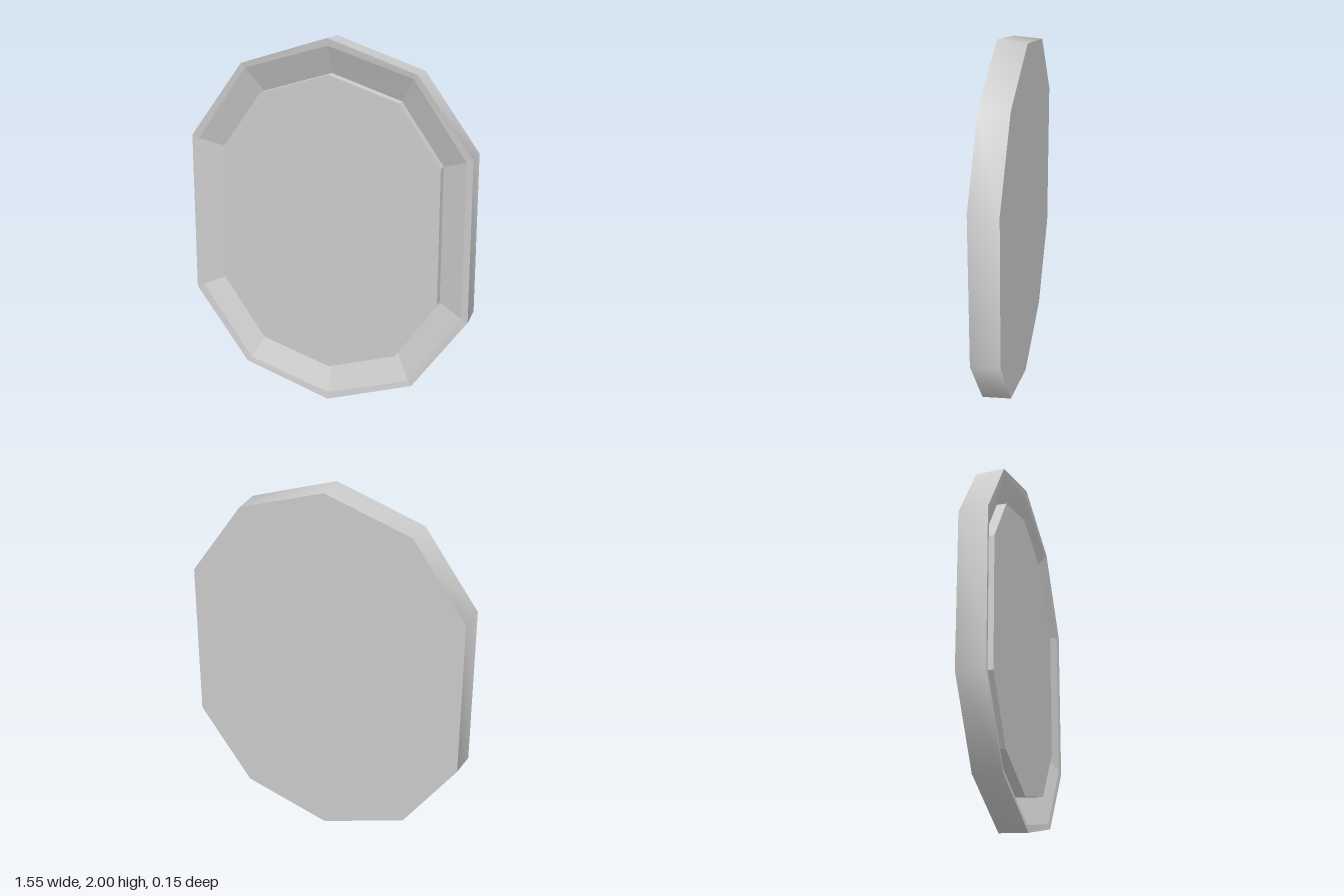
import * as THREE from 'three';

// Ten-sided outline from its top, shoulder and side corners, mirrored in x and y
function outline(top, [sx, sy], [wx, wy], z) {
  return [
    [0, top], [-sx, sy], [-wx, wy], [-wx, -wy], [-sx, -sy],
    [0, -top], [sx, -sy], [wx, -wy], [wx, wy], [sx, sy],
  ].map(([x, y]) => new THREE.Vector3(x, y + 1, z));
}

// Band of faces joining two outlines
function band(a, b, smooth) {
  const n = a.length;
  const index = [];
  for (let i = 0; i < n; i++) {
    const j = (i + 1) % n;
    index.push(i, j, n + j, i, n + j, n + i);
  }
  let geometry = new THREE.BufferGeometry().setFromPoints([...a, ...b]);
  geometry.setIndex(index);
  if (!smooth) geometry = geometry.toNonIndexed();
  geometry.computeVertexNormals();
  return geometry;
}

// Flat face filling an outline, turned to the front or the back
function cap(loop, back) {
  const shape = new THREE.Shape(loop.map((p) => new THREE.Vector2(p.x, p.y)));
  const geometry = new THREE.ShapeGeometry(shape);
  if (back) geometry.rotateY(Math.PI);
  return geometry.translate(0, 0, loop[0].z);
}

export function createModel() {
  const group = new THREE.Group();
  const material = new THREE.MeshStandardMaterial({ color: 0xcccccc });
  const add = (name, geometry) => {
    const mesh = new THREE.Mesh(geometry, material);
    mesh.name = name;
    group.add(mesh);
  };

  const paneAt = (z) => outline(0.81, [0.38, 0.69], [0.605, 0.37], z);
  const backInner = paneAt(-0.077);
  const backOuter = outline(0.99, [0.474, 0.837], [0.768, 0.431], -0.077);
  const frontOuter = outline(1, [0.479, 0.843], [0.775, 0.435], 0.077);
  const lip = outline(0.96, [0.458, 0.82], [0.738, 0.418], 0.072);
  const slopeInner = paneAt(0.01);
  const paneFront = paneAt(0.063);

  // Frame: flat back, tapered outer wall, narrow lip and sloping inner face
  add('frameBack', band(backInner, backOuter, false));
  add('frameOuterWall', band(backOuter, frontOuter, true));
  add('frameLip', band(frontOuter, lip, false));
  add('frameSlope', band(lip, slopeInner, false));

  // Pane: slab standing slightly proud of the slope, flush with the back
  add('paneBack', cap(backInner, true));
  add('paneSides', band(backInner, paneFront, false));
  add('paneFront', cap(paneFront, false));

  return group;
}
